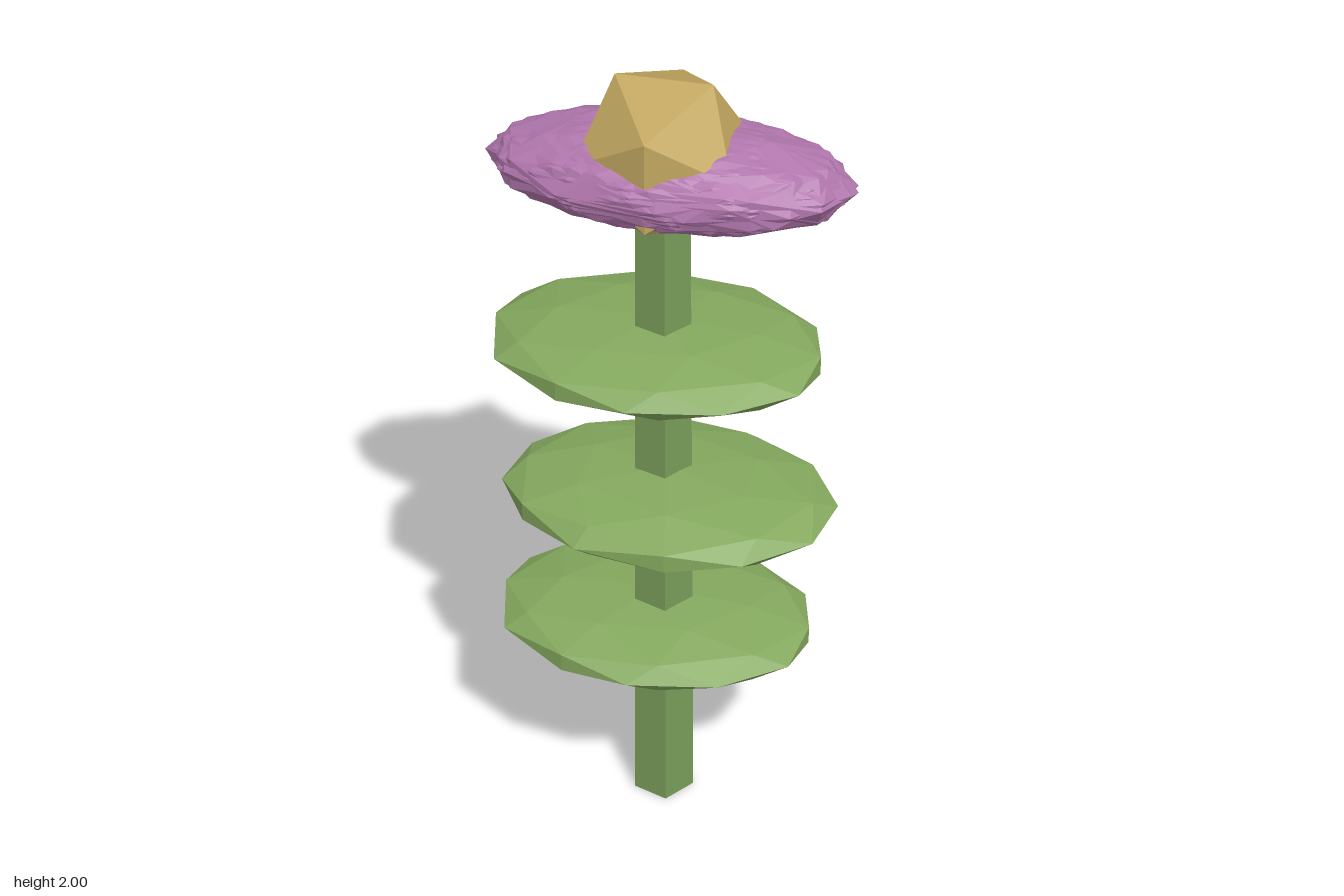
import * as THREE from 'three';

const STEM_X = -0.017;

function mat(color) {
  return new THREE.MeshStandardMaterial({ color, flatShading: true });
}

function add(parent, name, geometry, material, x, y, z) {
  const mesh = new THREE.Mesh(geometry, material);
  mesh.name = name;
  mesh.position.set(x, y, z);
  parent.add(mesh);
  return mesh;
}

// Faceted ball, turned first and then squashed into an ellipsoid
function ellipsoid(rx, ry, rz, turn) {
  const g = new THREE.IcosahedronGeometry(1, 1);
  g.applyMatrix4(new THREE.Matrix4().makeRotationFromEuler(turn));
  return g.scale(rx, ry, rz);
}

export function createModel() {
  const model = new THREE.Group();
  model.name = 'flower';
  const stemMat = mat(0x789c5a);
  const leafMat = mat(0x84a85e);
  const petalMat = mat(0xb076ac);
  const goldMat = mat(0xc2a760);

  // Five-sided tapering stem with one corner towards +x
  const stem = new THREE.CylinderGeometry(0.064, 0.078, 1.72, 5).rotateY(Math.PI / 2);
  add(model, 'stem', stem, stemMat, STEM_X, 0.86, 0.005);

  // Three flat leaf tiers: x, y, z, turn
  const tiers = [
    [-0.037, 0.537, -0.003, -1.02],
    [0.003, 0.926, 0.027, -0.41],
    [-0.033, 1.32, -0.003, -1.02],
  ];
  for (const [x, y, z, turn] of tiers) {
    add(model, 'leaf', ellipsoid(0.4, 0.075, 0.288, new THREE.Euler(0, turn, 0)), leafMat, x, y, z);
  }

  // Ragged bloom: overlapping ellipsoids rolled around the long axis
  const bloom = new THREE.Group();
  bloom.name = 'bloom';
  bloom.position.set(0, 1.782, 0.005);
  model.add(bloom);
  const count = 8;
  for (let i = 0; i < count; i++) {
    const roll = (i * Math.PI) / count;
    const tilt = 0.22 * Math.sin(i * 2.4);
    const g = ellipsoid(0.405, 0.115, 0.193, new THREE.Euler(roll, 0, tilt));
    add(bloom, 'petal', g, petalMat, 0.012 * Math.cos(i * 2.4), 0, 0);
  }

  // Golden flower centre
  add(model, 'flowerCentre', new THREE.IcosahedronGeometry(0.206, 0), goldMat, -0.013, 1.825, 0.005);

  return model;
}
